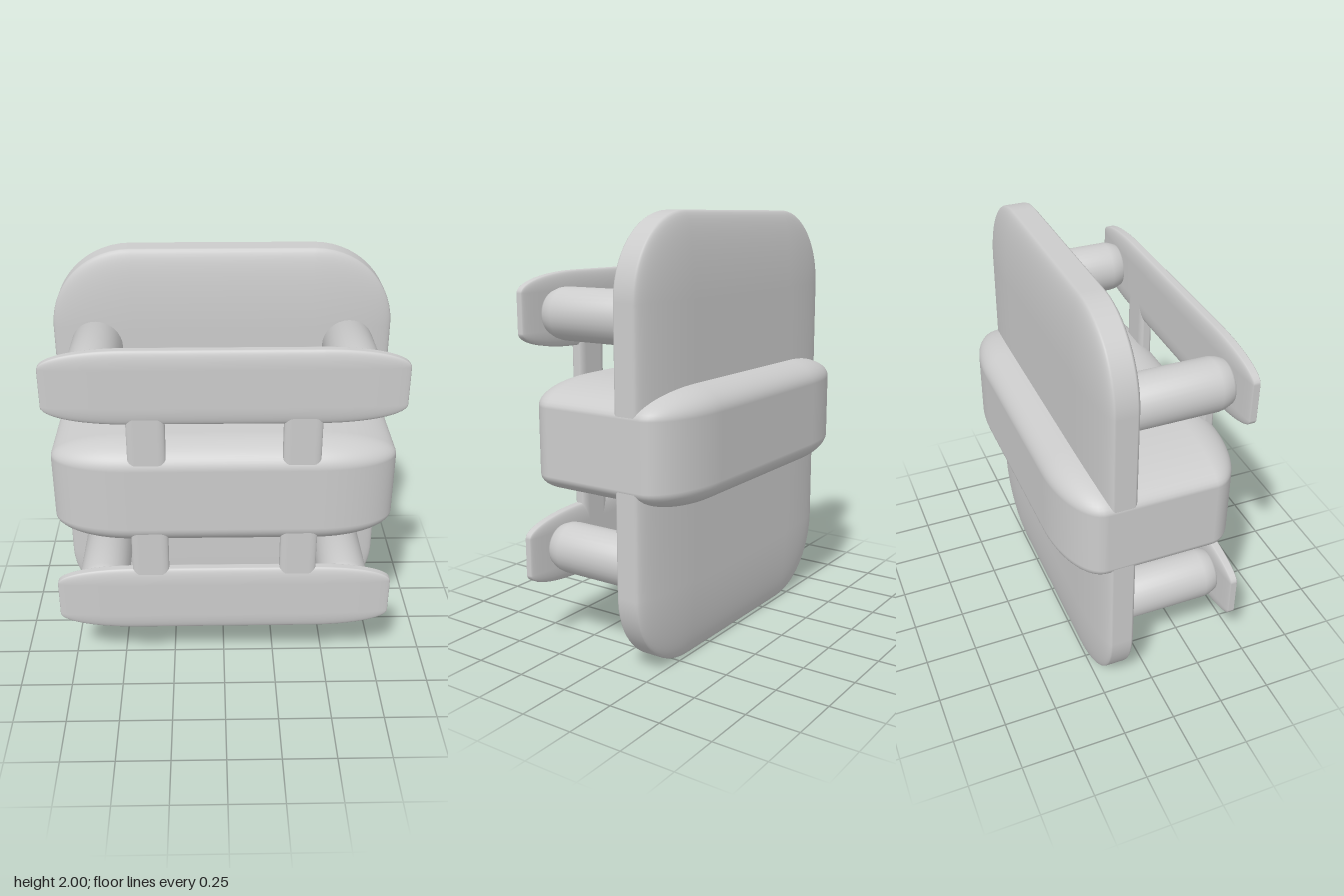
import * as THREE from 'three';
import { RoundedBoxGeometry } from 'three/addons/geometries/RoundedBoxGeometry.js';

const material = new THREE.MeshStandardMaterial({ color: 0xcccccc });

// Box whose corners are ellipsoids: size and corner radii are given per axis.
function softBox(name, size, radii, position) {
  const [w, h, d] = size.map((s, i) => s / radii[i]);
  const geometry = new RoundedBoxGeometry(w, h, d, 8, 1);
  geometry.scale(...radii);
  const mesh = new THREE.Mesh(geometry, material);
  mesh.name = name;
  mesh.position.set(...position);
  return mesh;
}

// Round post along z with a softened front end.
function post(x, y) {
  const r = 0.12;
  const profile = [[0, -0.12], [r, -0.12], [r, 0.29], [r - 0.005, 0.32], [r - 0.015, 0.345], [r - 0.025, 0.365], [0, 0.365]]
    .map(([a, b]) => new THREE.Vector2(a, b));
  const geometry = new THREE.LatheGeometry(profile, 32);
  geometry.rotateX(Math.PI / 2);
  const mesh = new THREE.Mesh(geometry, material);
  mesh.name = 'post';
  mesh.position.set(x, y, 0);
  return mesh;
}

export function createModel() {
  const model = new THREE.Group();
  model.name = 'slattedPanel';

  // Large upright plate and the thick block that passes through its middle
  model.add(softBox('backPlate', [1.576, 2, 0.2], [0.37, 0.37, 0.055], [0, 1, -0.18]));
  model.add(softBox('middleBlock', [1.58, 0.525, 0.84], [0.37, 0.11, 0.17], [0, 1.005, 0]));

  // Upper and lower slats, each held off the plate by two posts
  for (const y of [0.45, 1.56]) {
    model.add(softBox('slat', [1.58, 0.345, 0.07], [0.37, 0.085, 0.022], [0, y, 0.385]));
    for (const side of [-1, 1]) model.add(post(side * 0.585, y < 1 ? 0.46 : 1.55));
  }

  // Uprights tying the slats to the block
  for (const side of [-1, 1]) {
    model.add(softBox('upright', [0.17, 1.12, 0.064], [0.035, 0.035, 0.018], [side * 0.345, 1.005, 0.382]));
  }
  return model;
}
